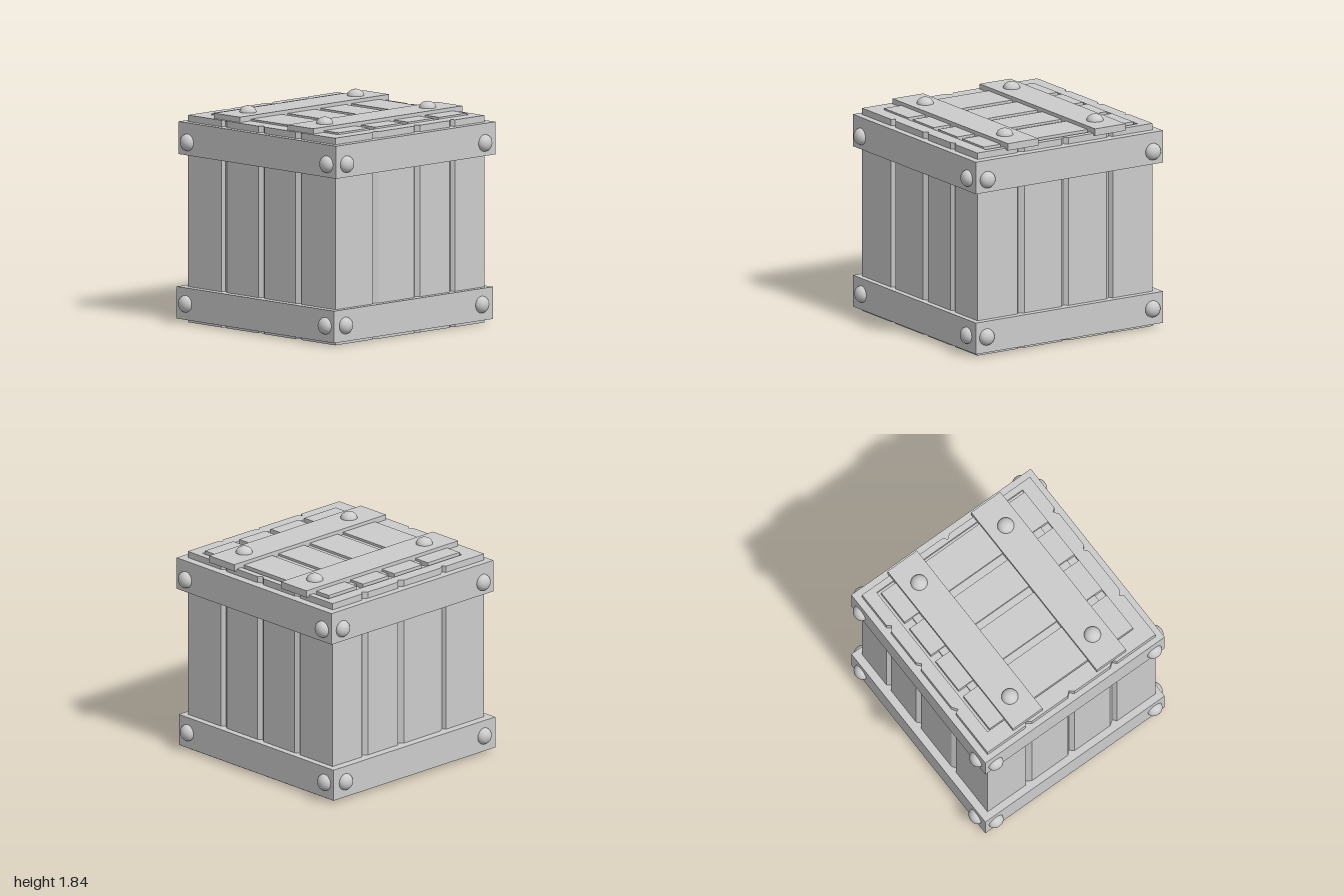
import * as THREE from 'three';

const material = new THREE.MeshStandardMaterial({ color: 0xcccccc });

// Grooves between boards as [start, deepest, end] along a wall
const GROOVES_X = [[-0.475, -0.455, -0.41], [-0.035, 0, 0.035], [0.405, 0.45, 0.475]];
const GROOVES_Z = [[-0.525, -0.5, -0.46], [-0.115, -0.08, -0.045], [0.375, 0.425, 0.44]];
const WALL = { x0: -0.87, x1: 0.875, z0: -0.865, z1: 0.878 };
const DEPTH = 0.032;

// Outline of the grooved crate, seen from above (x, z)
function crateOutline() {
  const { x0, x1, z0, z1 } = WALL;
  const points = [];
  const add = (x, z) => points.push(new THREE.Vector2(x, z));
  const cut = (grooves, reverse, put) => {
    const list = grooves.flatMap(([a, b, c]) => [[a, 0], [b, DEPTH], [c, 0]]);
    if (reverse) list.reverse();
    list.forEach(([t, d]) => put(t, d));
  };
  add(x0, z0);
  cut(GROOVES_X, false, (t, d) => add(t, z0 + d));
  add(x1, z0);
  cut(GROOVES_Z, false, (t, d) => add(x1 - d, t));
  add(x1, z1);
  cut(GROOVES_X, true, (t, d) => add(t, z1 - d));
  add(x0, z1);
  cut(GROOVES_Z, true, (t, d) => add(x0 + d, t));
  return new THREE.Shape(points);
}

function createModel() {
  const group = new THREE.Group();

  const addMesh = (name, geometry) => {
    const mesh = new THREE.Mesh(geometry, material);
    mesh.name = name;
    group.add(mesh);
    return mesh;
  };

  // Box given by its limits
  const addBox = (name, x0, x1, y0, y1, z0, z1) => {
    const mesh = addMesh(name, new THREE.BoxGeometry(x1 - x0, y1 - y0, z1 - z0));
    mesh.position.set((x0 + x1) / 2, (y0 + y1) / 2, (z0 + z1) / 2);
  };

  // Vertical extrusion of a ground-plan shape
  const addPrism = (name, shape, y0, y1) => {
    const geometry = new THREE.ExtrudeGeometry(shape, { depth: y1 - y0, bevelEnabled: false });
    geometry.rotateX(Math.PI / 2);
    addMesh(name, geometry).position.y = y1;
  };

  // Crate body with a shallow recess in its top
  addPrism('crateBody', crateOutline(), 0, 1.72);
  const rim = crateOutline();
  rim.holes.push(new THREE.Path([
    new THREE.Vector2(-0.76, -0.81), new THREE.Vector2(-0.76, 0.73),
    new THREE.Vector2(0.757, 0.73), new THREE.Vector2(0.757, -0.81),
  ]));
  addPrism('topRim', rim, 1.72, 1.745);

  // Lid planks and the cleats showing in the gaps
  const planks = [[-0.78, -0.455], [-0.385, -0.09], [-0.025, 0.295], [0.36, 0.725]];
  planks.forEach(([z0, z1], i) => {
    addBox('lidPlank', -0.735, 0.757, 1.71, 1.76, z0, z1);
    if (i > 0) addBox('lidCleat', -0.655, 0.68, 1.71, 1.74, planks[i - 1][1], z0);
  });

  // Straps across the lid
  addBox('lidStrap', -0.585, -0.28, 1.73, 1.79, -0.893, 0.852);
  addBox('lidStrap', 0.285, 0.588, 1.73, 1.79, -0.893, 0.852);

  // Bands around the crate
  addBox('lowerBand', -0.94, 0.925, 0.03, 0.3, -0.92, 0.94);
  addBox('upperBand', -0.93, 0.935, 1.415, 1.69, -0.935, 0.927);

  // Rivets: half-sunk domes, slightly flattened along their axis
  const dome = new THREE.SphereGeometry(0.071, 24, 16);
  const addRivet = (name, x, y, z, axis) => {
    const rivet = addMesh(name, dome);
    rivet.position.set(x, y, z);
    rivet.scale[axis] = 0.8;
  };
  const bands = [
    { y: 0.165, x: [-0.94, 0.925], z: [-0.92, 0.94], rx: [-0.833, 0.82], rz: [-0.785, 0.81] },
    { y: 1.525, x: [-0.93, 0.935], z: [-0.94, 0.927], rx: [-0.825, 0.825], rz: [-0.81, 0.807] },
  ];
  for (const { y, x, z, rx, rz } of bands) {
    for (const px of rx) for (const face of z) addRivet('bandRivet', px, y, face, 'z');
    for (const pz of rz) for (const face of x) addRivet('bandRivet', face, y, pz, 'x');
  }
  for (const [x, z] of [[-0.435, -0.655], [0.445, -0.627], [-0.435, 0.605], [0.445, 0.578]]) {
    addRivet('strapRivet', x, 1.788, z, 'y');
  }

  return group;
}

export { createModel };
